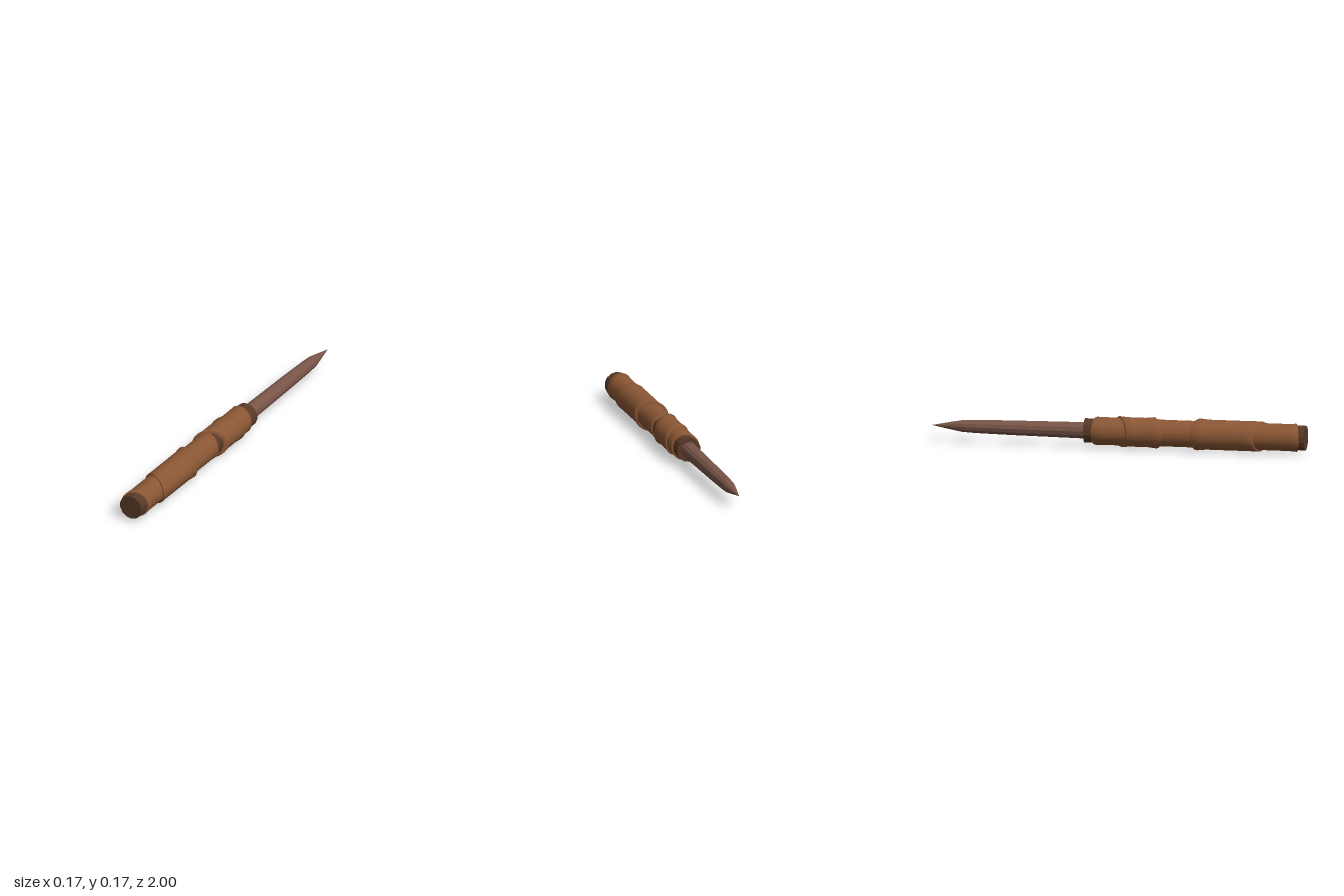
import * as THREE from 'three';
import { toCreasedNormals } from 'three/addons/utils/BufferGeometryUtils.js';

const AXIS_Y = 0.088;

function material(name, color, flatShading = false) {
  const m = new THREE.MeshStandardMaterial({ color, flatShading });
  m.name = name;
  return m;
}

// Turned shape along z from [radius, z] pairs listed with rising z
function turned(profile, sides) {
  const points = profile.map(([r, z]) => new THREE.Vector2(r, z));
  return new THREE.LatheGeometry(points, sides).rotateX(Math.PI / 2);
}

// Leather sleeve with rounded lips; each end slants by its own slope across x
function sleeve({ back, front, rBack, rMid, rFront, slopeBack, slopeFront }) {
  const inner = 0.06, lip = 0.005, flare = 0.05;
  const geometry = turned([
    [inner, back], [rBack - lip, back], [rBack - lip * 0.3, back + lip * 0.3], [rBack, back + lip],
    [rMid, back + flare], [rMid, front - flare],
    [rFront, front - lip], [rFront - lip * 0.3, front - lip * 0.3], [rFront - lip, front], [inner, front],
  ], 40);
  const p = geometry.attributes.position;
  for (let i = 0; i < p.count; i++) {
    const t = (p.getZ(i) - back) / (front - back);
    p.setZ(i, p.getZ(i) + p.getX(i) * THREE.MathUtils.lerp(slopeBack, slopeFront, t));
  }
  return toCreasedNormals(geometry, 0.9);
}

export function createModel() {
  const model = new THREE.Group();
  model.name = 'spikeWithWrappedHandle';
  const leather = material('leather', 0x8b5735);
  const darkWood = material('darkWood', 0x583926, true);
  const spikeBrown = material('spikeBrown', 0x795548, true);

  const add = (name, geometry, mat) => {
    const mesh = new THREE.Mesh(geometry, mat);
    mesh.name = name;
    mesh.position.y = AXIS_Y;
    model.add(mesh);
  };

  // Faceted handle core
  add('handleCore', turned([[0, -0.18], [0.065, -0.18], [0.066, 1], [0, 1]], 14), darkWood);

  // Tapered spike
  add('spike', turned([
    [0, -1], [0.018, -0.91], [0.031, -0.84], [0.035, -0.77], [0.039, -0.58], [0.044, -0.16], [0, -0.16],
  ], 12), spikeBrown);

  // Overlapping leather wraps, from the spike to the pommel
  const wraps = [
    { back: -0.125, front: 0.1, rBack: 0.074, rMid: 0.073, rFront: 0.073, slopeBack: 0.2, slopeFront: -0.4 },
    { back: 0.005, front: 0.2, rBack: 0.081, rMid: 0.077, rFront: 0.082, slopeBack: -0.57, slopeFront: -0.57 },
    { back: 0.2, front: 0.5, rBack: 0.072, rMid: 0.07, rFront: 0.071, slopeBack: 0.32, slopeFront: 0.4 },
    { back: 0.423, front: 0.76, rBack: 0.084, rMid: 0.079, rFront: 0.08, slopeBack: 0.4, slopeFront: 0.42 },
    { back: 0.65, front: 0.955, rBack: 0.07, rMid: 0.071, rFront: 0.074, slopeBack: 0.4, slopeFront: -0.27 },
  ];
  wraps.forEach((w, i) => add(`leatherWrap${i + 1}`, sleeve(w), leather));

  return model;
}
